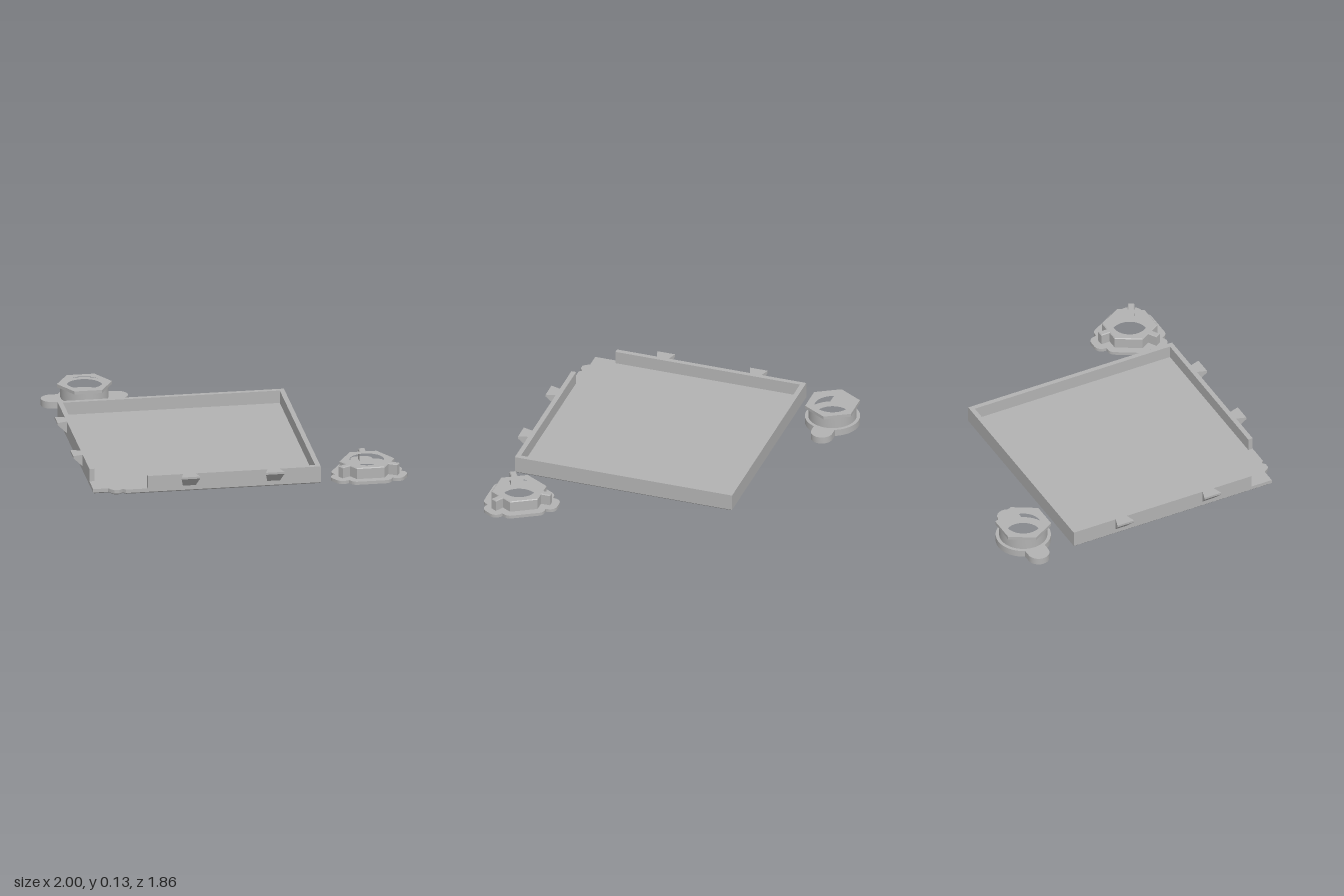
import * as THREE from 'three';
import { toCreasedNormals } from 'three/addons/utils/BufferGeometryUtils.js';
import { ConvexGeometry } from 'three/addons/geometries/ConvexGeometry.js';

const PI = Math.PI;
const HOLE = 0.11;      // bore radius of both fasteners
const FLAT = 0.147;     // hexagon centre to flat
const CORNER = FLAT / Math.cos(PI / 6);

// points [x, z] along an arc
function arc(cx, cz, r, a0, a1, n = 8) {
  return Array.from({ length: n + 1 }, (_, i) => {
    const a = a0 + (a1 - a0) * i / n;
    return [cx + r * Math.cos(a), cz + r * Math.sin(a)];
  });
}

// upright prism from an [x, z] outline, between two heights, with optional bore and chamfer
function prism(points, y0, y1, { bore = 0, bevel = 0 } = {}) {
  const shape = new THREE.Shape(points.map(([x, z]) => new THREE.Vector2(x, -z)));
  if (bore) shape.holes.push(new THREE.Path().absarc(0, 0, bore, 0, 2 * PI, true));
  const geo = new THREE.ExtrudeGeometry(shape, {
    depth: y1 - y0 - 2 * bevel, curveSegments: 48,
    bevelEnabled: bevel > 0, bevelThickness: bevel, bevelSize: bevel,
    bevelOffset: -bevel, bevelSegments: 1,
  });
  geo.rotateX(-PI / 2).translate(0, y0 + bevel, 0);
  return toCreasedNormals(geo, 0.4);
}

// hexagon with a rib on every second flat, grown outwards by "grow" with round corners
function ribbedHexagon(grow) {
  const points = [], ribEnd = 0.205, ribHalf = 0.02;
  const corner = (x, z, a0, a1) => (grow ? arc(x, z, grow, a0, a1) : [[x, z]]);
  for (let i = 0; i < 3; i++) {
    const turn = -PI / 2 + i * 2 * PI / 3;
    const local = [
      ...corner(FLAT, -CORNER / 2, -PI / 3, 0),
      [FLAT + grow, -ribHalf - grow],
      ...corner(ribEnd, -ribHalf, -PI / 2, 0),
      ...corner(ribEnd, ribHalf, 0, PI / 2),
      [FLAT + grow, ribHalf + grow],
      ...corner(FLAT, CORNER / 2, 0, PI / 3),
    ];
    for (const [x, z] of local) {
      points.push([x * Math.cos(turn) - z * Math.sin(turn), x * Math.sin(turn) + z * Math.cos(turn)]);
    }
  }
  return points;
}

// dovetail hook pointing along +z, tapering to a thin tip at the rim
function hookGeometry() {
  const v = [];
  for (const s of [-1, 1]) {
    v.push(new THREE.Vector3(s * 0.038, 0.11, 0), new THREE.Vector3(s * 0.04, 0.035, 0),
      new THREE.Vector3(s * 0.057, 0.11, 0.06), new THREE.Vector3(s * 0.057, 0.097, 0.06));
  }
  return new ConvexGeometry(v);
}

export function createModel() {
  const grey = new THREE.MeshStandardMaterial({ color: 0xb2b2b2 });
  grey.name = 'plain grey';
  const model = new THREE.Group();
  model.name = 'trayWithFasteners';

  const add = (parent, name, geo) => {
    const mesh = new THREE.Mesh(geo, grey);
    mesh.name = name;
    parent.add(mesh);
    return mesh;
  };
  const group = (name, x, z) => {
    const g = new THREE.Group();
    g.name = name;
    g.position.set(x, 0, z);
    model.add(g);
    return g;
  };

  // tray floor with the notched front corner and a chamfered underside
  const tray = group('tray', 0, 0);
  const floor = [
    [-0.94, -0.525], [0.455, -0.525], [0.455, 0.87], [-0.745, 0.87], [-0.762, 0.853],
    [-0.783, 0.87], [-0.815, 0.87], [-0.83, 0.855], [-0.847, 0.83], [-0.94, 0.83],
  ];
  add(tray, 'floor', prism(floor, 0.01, 0.03));
  add(tray, 'floorUnderside', prism(floor, 0, 0.02, { bevel: 0.008 }));

  // rim wall, open at the notched corner
  add(tray, 'rimWall', prism([
    [-0.94, 0.69], [-0.94, -0.525], [0.455, -0.525], [0.455, 0.87], [-0.61, 0.87],
    [-0.61, 0.84], [0.425, 0.84], [0.425, -0.495], [-0.91, -0.495], [-0.91, 0.69],
  ], 0.03, 0.11));

  // dovetail hooks on the front and right walls
  const hook = hookGeometry();
  for (const x of [-0.354, 0.165]) add(tray, 'frontHook', hook).position.set(x, 0, 0.87);
  for (const z of [-0.2, 0.395]) {
    const side = add(tray, 'sideHook', hook);
    side.position.set(-0.94, 0, z);
    side.rotation.y = -PI / 2;
  }

  // ribbed fastener
  const ribbed = group('ribbedFastener', 0.76, 0.738);
  add(ribbed, 'ribbedFlange', prism(ribbedHexagon(0.047), 0, 0.02, { bore: HOLE }));
  add(ribbed, 'ribbedHexagon', prism(ribbedHexagon(0), 0.008, 0.09, { bore: HOLE, bevel: 0.005 }));

  // winged fastener: flange with two round wings, round neck, hexagonal head
  const winged = group('wingedFastener', -0.734, -0.764);
  const wing = 0.067, radius = 0.168, a = Math.asin(wing / radius);
  add(winged, 'wingedFlange', prism([
    ...arc(0.268 - wing, 0, wing, -PI / 2, PI / 2, 16),
    ...arc(0, 0, radius, a, PI - a, 24),
    ...arc(wing - 0.268, 0, wing, PI / 2, 3 * PI / 2, 16),
    ...arc(0, 0, radius, PI + a, 2 * PI - a, 24),
  ], 0, 0.043, { bore: HOLE }));
  add(winged, 'neck', prism(arc(0, 0, FLAT, 0, 2 * PI, 48).slice(0, -1), 0.043, 0.115, { bore: HOLE }));
  add(winged, 'hexagonHead', prism(arc(0, 0, CORNER, 0, 2 * PI, 6).slice(0, -1), 0.113, 0.133, { bore: HOLE }));

  return model;
}
